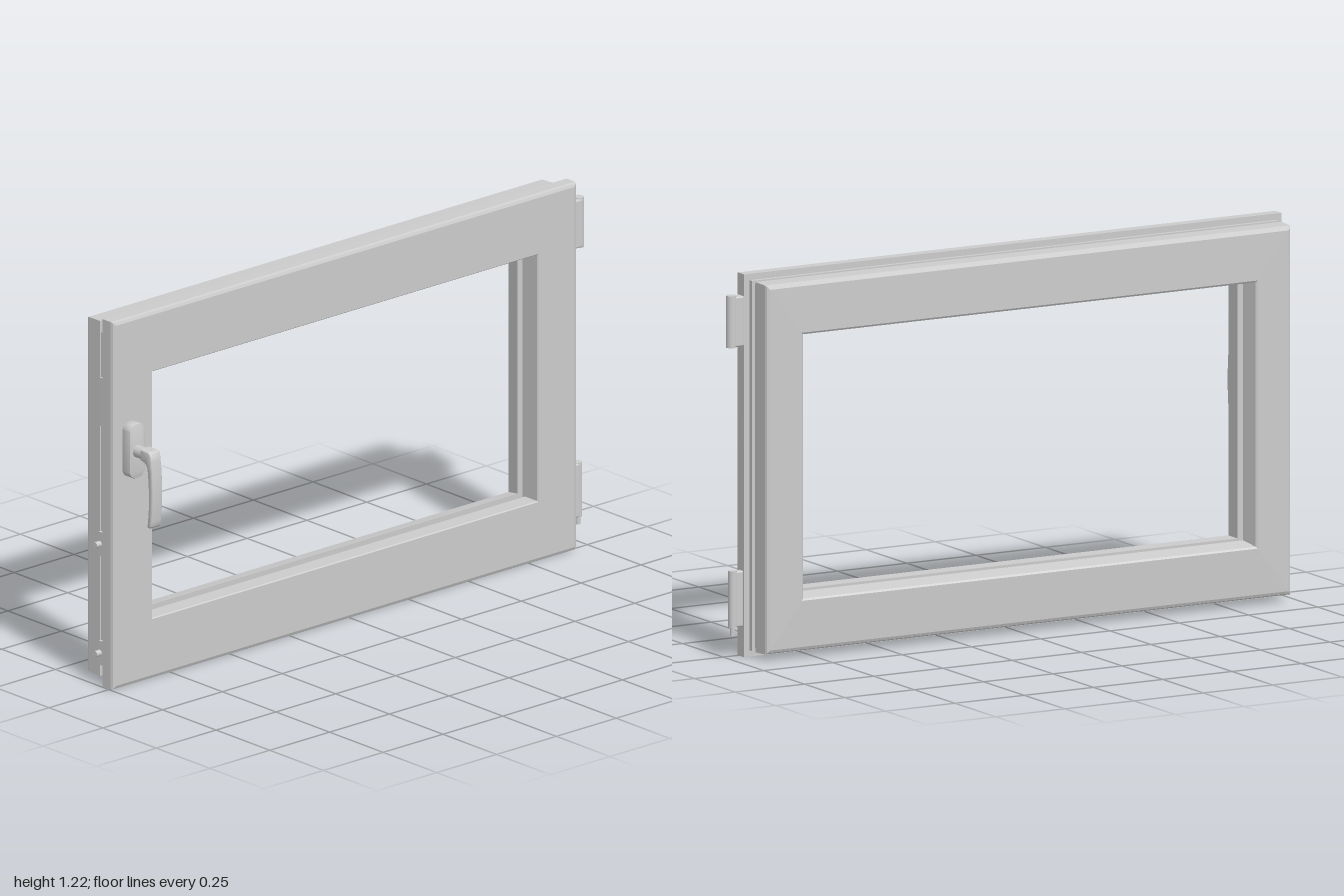
import * as THREE from 'three';
import { toCreasedNormals } from 'three/addons/utils/BufferGeometryUtils.js';
import { RoundedBoxGeometry } from 'three/addons/geometries/RoundedBoxGeometry.js';

const grey = new THREE.MeshStandardMaterial({ color: 0xcccccc });
const CX = -0.025, CY = 0.6075; // centre of the sash

function add(parent, name, geometry, x = 0, y = 0, z = 0) {
  const mesh = new THREE.Mesh(geometry, grey);
  mesh.name = name;
  mesh.position.set(x, y, z);
  parent.add(mesh);
  return mesh;
}

// Rectangular rings [halfWidth, halfHeight, z] joined in a closed loop
function ringFrame(rings) {
  const corners = rings.map(([w, h, z]) => [[w, h, z], [-w, h, z], [-w, -h, z], [w, -h, z]]);
  const pos = [];
  corners.forEach((a, k) => {
    const b = corners[(k + 1) % corners.length];
    for (let i = 0; i < 4; i++) {
      const j = (i + 1) % 4;
      pos.push(...a[i], ...b[i], ...a[j], ...a[j], ...b[i], ...b[j]);
    }
  });
  const g = new THREE.BufferGeometry();
  g.setAttribute('position', new THREE.Float32BufferAttribute(pos, 3));
  g.computeVertexNormals();
  return g;
}

function createHandle() {
  const handle = new THREE.Group();
  handle.name = 'handle';

  // Rounded backplate
  const w = 0.0325, h = 0.09, r = 0.028;
  const plate = new THREE.Shape();
  plate.moveTo(-w, -h + r);
  plate.absarc(-w + r, -h + r, r, Math.PI, 1.5 * Math.PI);
  plate.absarc(w - r, -h + r, r, 1.5 * Math.PI, 2 * Math.PI);
  plate.absarc(w - r, h - r, r, 0, 0.5 * Math.PI);
  plate.absarc(-w + r, h - r, r, 0.5 * Math.PI, Math.PI);
  const plateGeo = new THREE.ExtrudeGeometry(plate, {
    depth: 0.031, bevelThickness: 0.004, bevelSize: 0.004, bevelOffset: -0.004, bevelSegments: 2, curveSegments: 10,
  });
  add(handle, 'handlePlate', toCreasedNormals(plateGeo, 0.6), 0, 0.785, 0.015);

  // Round neck
  const neck = new THREE.CylinderGeometry(0.02, 0.02, 0.07, 24);
  neck.rotateX(Math.PI / 2);
  add(handle, 'handleNeck', neck, 0, 0.785, 0.08);

  // Curved grip, drawn in side profile (z, y) and extruded across x
  const grip = new THREE.Shape();
  grip.moveTo(0.085, 0.805);
  grip.lineTo(0.12, 0.804);
  grip.quadraticCurveTo(0.131, 0.803, 0.134, 0.79);
  grip.quadraticCurveTo(0.152, 0.67, 0.136, 0.56);
  grip.quadraticCurveTo(0.128, 0.548, 0.117, 0.556);
  grip.quadraticCurveTo(0.131, 0.64, 0.118, 0.745);
  grip.quadraticCurveTo(0.115, 0.766, 0.085, 0.767);
  const gripGeo = new THREE.ExtrudeGeometry(grip, {
    depth: 0.032, bevelThickness: 0.006, bevelSize: 0.005, bevelOffset: -0.005, bevelSegments: 3, curveSegments: 14,
  });
  gripGeo.translate(0, 0, -0.016);
  gripGeo.rotateY(-Math.PI / 2);
  add(handle, 'handleGrip', toCreasedNormals(gripGeo, 0.6));

  handle.position.x = -0.925;
  return handle;
}

export function createModel() {
  const model = new THREE.Group();
  model.name = 'windowSash';

  // Sash: outer rings are inset from the outline, inner rings grow from the opening
  const outer = (d, z) => [0.97 - d, 0.6075 - d, z];
  const inner = (d, z) => [0.805 + d, 0.4075 + d, z];
  add(model, 'sashFrame', ringFrame([
    outer(0.012, 0.015), outer(0.003, 0.011), outer(0, 0.003),
    outer(0, -0.035), outer(0.02, -0.035),
    // hardware groove
    outer(0.02, -0.05), outer(0.03, -0.05), outer(0.03, -0.07), outer(0.02, -0.07),
    // rounded back edge
    outer(0.022, -0.125), outer(0.026, -0.133), outer(0.035, -0.137),
    // bevelled bead and empty glazing groove
    inner(0.018, -0.14), inner(0.012, -0.136), inner(0.002, -0.09), inner(0, -0.08),
    inner(0.02, -0.08), inner(0.02, -0.045), inner(0, -0.045),
    inner(0, 0.011), inner(0.003, 0.015),
  ]), CX, CY, 0);

  model.add(createHandle());

  // Upper hinge with its barrel
  const upper = new THREE.Group();
  upper.name = 'upperHinge';
  add(upper, 'hingeBody', new RoundedBoxGeometry(0.045, 0.16, 0.034, 2, 0.006), 0.966, 1.067, -0.02);
  add(upper, 'hingeBarrel', new THREE.CylinderGeometry(0.017, 0.017, 0.165, 24), 0.983, 1.0675, -0.021);
  model.add(upper);

  // Lower hinge with its pin
  const lower = new THREE.Group();
  lower.name = 'lowerHinge';
  add(lower, 'hingeBody', new RoundedBoxGeometry(0.035, 0.178, 0.026, 2, 0.006), 0.96, 0.185, -0.018);
  add(lower, 'hingeBarrel', new THREE.CylinderGeometry(0.014, 0.014, 0.18, 24), 0.977, 0.185, -0.019);
  add(lower, 'hingePin', new THREE.CylinderGeometry(0.008, 0.008, 0.03, 16), 0.977, 0.085, -0.019);
  model.add(lower);

  // Locking rail and cams on the handle side
  const lock = new THREE.Group();
  lock.name = 'lockHardware';
  add(lock, 'lockRail', new THREE.BoxGeometry(0.008, 1.1, 0.016), -0.968, CY, -0.06);
  for (const y of [0.1, 0.46]) {
    add(lock, 'lockPlate', new THREE.BoxGeometry(0.01, 0.08, 0.02), -0.975, y, -0.06);
    const cam = new THREE.CylinderGeometry(0.01, 0.01, 0.028, 16);
    cam.rotateZ(Math.PI / 2);
    add(lock, 'lockCam', cam, -0.986, y, -0.065);
  }
  add(lock, 'lockGuide', new THREE.BoxGeometry(0.012, 0.16, 0.014), -0.973, 0.93, -0.06);
  model.add(lock);

  return model;
}
